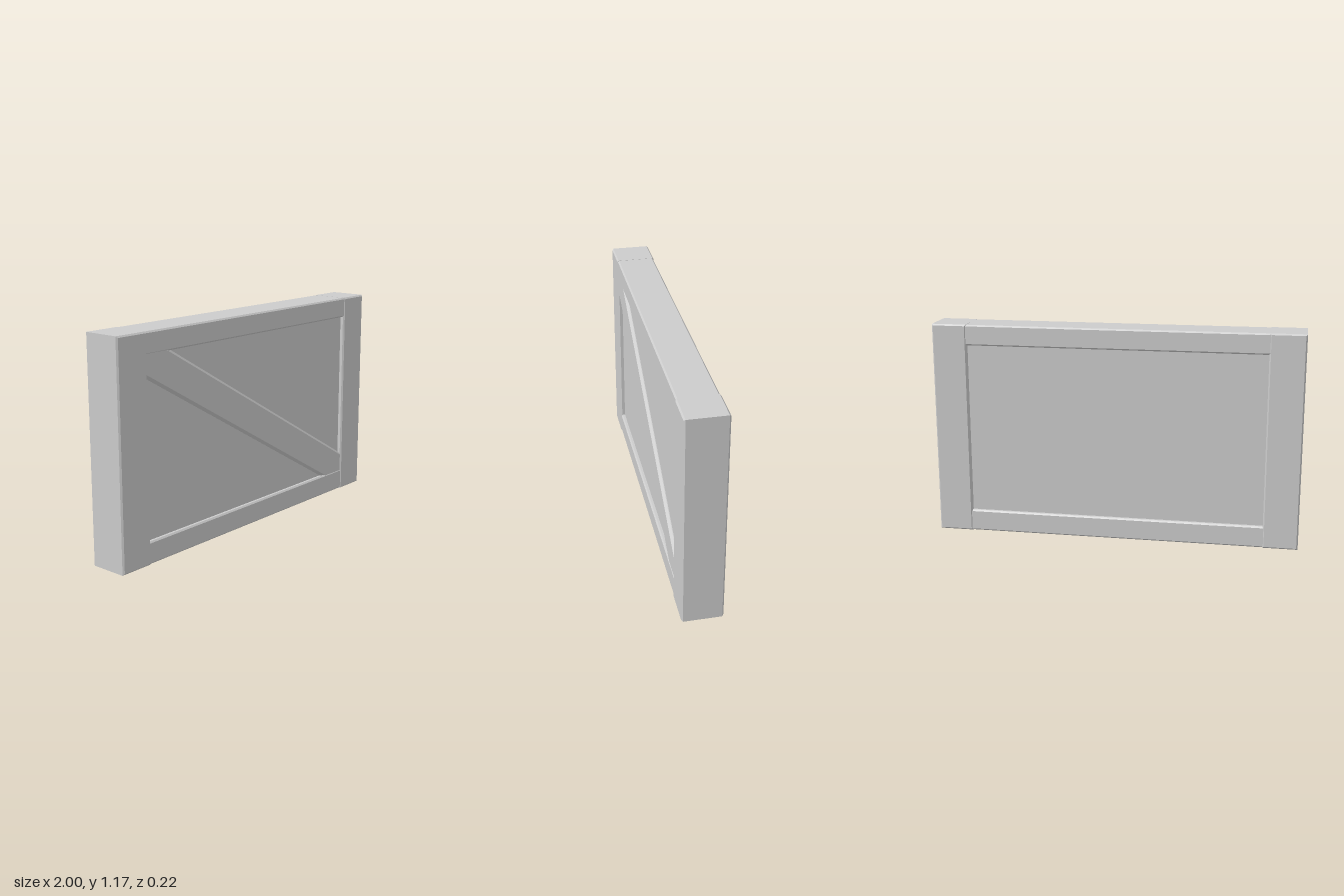
import * as THREE from 'three';

const material = new THREE.MeshStandardMaterial({ color: 0xcccccc, flatShading: true });

// Prism over an outline in x/y, from z0 to z1, with bevelled front and back edges
function plank(name, points, z0, z1, bevel) {
  const shape = new THREE.Shape(points.map(([x, y]) => new THREE.Vector2(x, y)));
  const geometry = new THREE.ExtrudeGeometry(shape, {
    depth: z1 - z0 - 2 * bevel,
    bevelEnabled: bevel > 0,
    bevelThickness: bevel,
    bevelSize: bevel,
    bevelOffset: -bevel,
    bevelSegments: 1,
  });
  geometry.translate(0, 0, z0 + bevel);
  const mesh = new THREE.Mesh(geometry, material);
  mesh.name = name;
  return mesh;
}

const rect = (x0, y0, x1, y1) => [[x0, y0], [x1, y0], [x1, y1], [x0, y1]];

export function createModel() {
  const group = new THREE.Group();
  group.name = 'bracedPanel';
  const H = 1.17, postZ = 0.108, railZ = 0.104, panelZ = 0.083;

  // Side posts, slightly proud of the rails
  group.add(plank('leftPost', rect(0.81, 0, 1, H), -postZ, postZ, 0.008));
  group.add(plank('rightPost', rect(-1, 0, -0.81, H), -postZ, postZ, 0.008));

  // Top and bottom rails, tenoned into the posts
  group.add(plank('bottomRail', rect(-0.9, 0.001, 0.9, 0.12), -railZ, railZ, 0.008));
  group.add(plank('topRail', rect(-0.9, 1.057, 0.9, H - 0.001), -railZ, railZ, 0.008));

  // Recessed infill panel
  group.add(plank('panel', rect(-0.84, 0.09, 0.84, 1.085), -panelZ, panelZ, 0));

  // Diagonal brace on the front, its ends let into the frame
  const half = [[-0.84, 0.962], [0.682, 0.09], [0.84, 0.09]];
  const outline = [...half, ...half.map(([x, y]) => [-x, 1.175 - y])];
  group.add(plank('diagonalBrace', outline, 0.05, 0.101, 0.014));

  return group;
}
